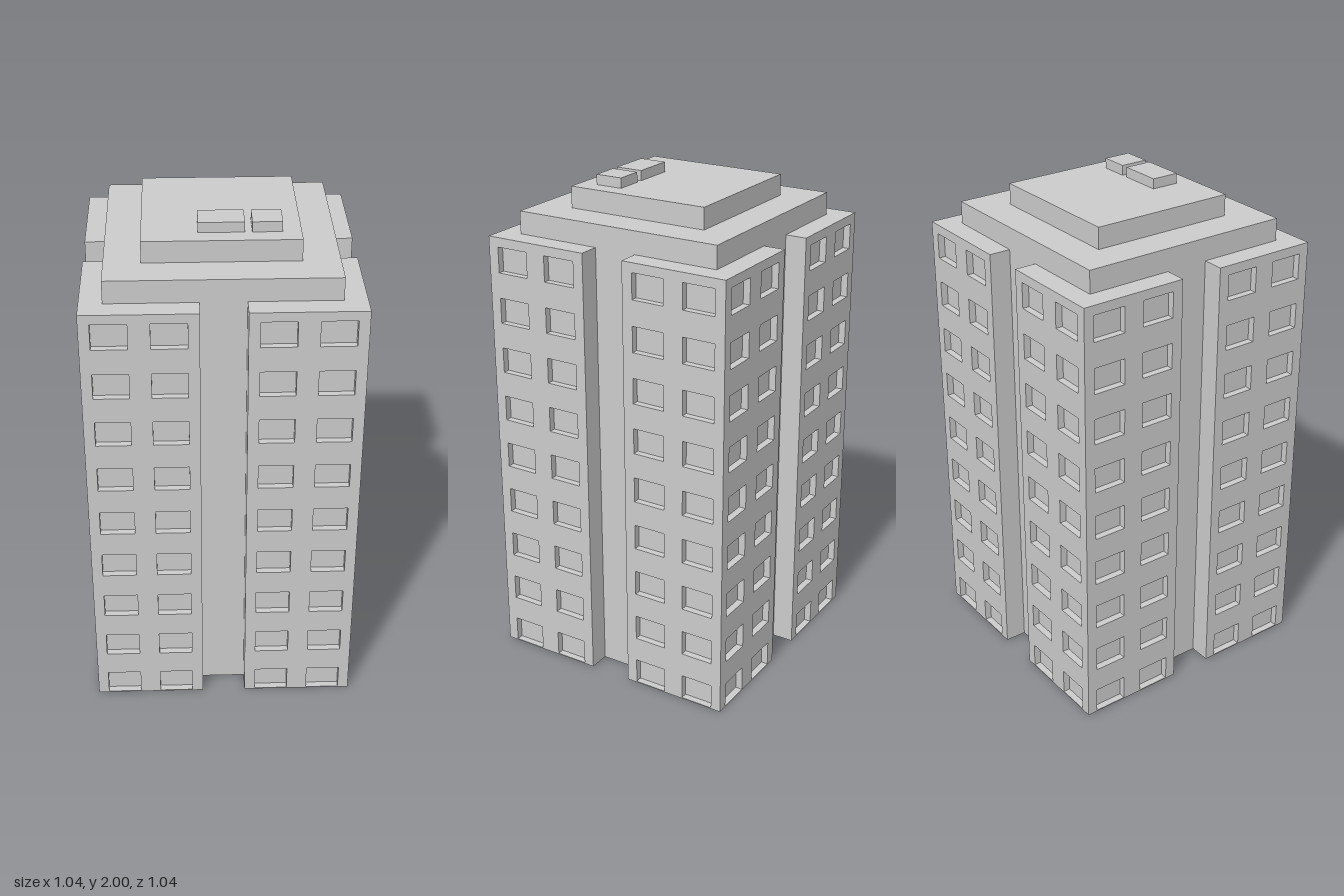
import * as THREE from 'three';

const OUTER = 0.522;   // half width over the corner wings
const CORE = 0.435;    // half width at the recessed bays
const BAY = 0.087;     // half width of the bays
const DEPTH = 0.028;   // window recess
const INNER = OUTER - DEPTH;
const WALL_TOP = 1.785;

const material = new THREE.MeshStandardMaterial({ color: 0xcccccc, flatShading: true });

function addMesh(parent, name, geometry) {
  const mesh = new THREE.Mesh(geometry, material);
  mesh.name = name;
  parent.add(mesh);
  return mesh;
}

// Box given by its limits on each axis
function addBlock(parent, name, [x0, x1], [y0, y1], [z0, z1]) {
  const mesh = addMesh(parent, name, new THREE.BoxGeometry(x1 - x0, y1 - y0, z1 - z0));
  mesh.position.set((x0 + x1) / 2, (y0 + y1) / 2, (z0 + z1) / 2);
}

function rectangle(Type, x0, x1, y0, y1) {
  return new Type([[x0, y0], [x1, y0], [x1, y1], [x0, y1]].map(p => new THREE.Vector2(...p)));
}

// Wall panel of one wing, pierced by two columns of nine windows
function facadeGeometry(side, end) {
  const xs = [BAY * side, end * side].sort((a, b) => a - b);
  const shape = rectangle(THREE.Shape, xs[0], xs[1], 0, WALL_TOP);
  for (const centre of [0.197, 0.413]) {
    for (let floor = 0; floor < 9; floor++) {
      const x = centre * side;
      const y = 0.004 + floor * 0.205;
      shape.holes.push(rectangle(THREE.Path, x - 0.067, x + 0.067, y, y + 0.103));
    }
  }
  return new THREE.ExtrudeGeometry(shape, { depth: DEPTH, bevelEnabled: false });
}

export function createModel() {
  const building = new THREE.Group();
  building.name = 'towerBlock';

  // Body with four square wings and a bay in each side
  const plan = [];
  for (let q = 0; q < 4; q++) {
    for (const [x, y] of [[CORE, -BAY], [CORE, BAY], [INNER, BAY], [INNER, INNER], [BAY, INNER]]) {
      plan.push(new THREE.Vector2(x, y).rotateAround(new THREE.Vector2(), q * Math.PI / 2));
    }
  }
  const body = new THREE.ExtrudeGeometry(new THREE.Shape(plan), { depth: WALL_TOP, bevelEnabled: false });
  addMesh(building, 'body', body.rotateX(-Math.PI / 2));

  // Window walls, two per side
  const leftWall = facadeGeometry(1, OUTER);
  const rightWall = facadeGeometry(-1, INNER);
  for (let q = 0; q < 4; q++) {
    const facade = new THREE.Group();
    facade.name = 'facade';
    facade.rotation.y = q * Math.PI / 2;
    addMesh(facade, 'leftWindowWall', leftWall).position.z = INNER;
    addMesh(facade, 'rightWindowWall', rightWall).position.z = INNER;
    building.add(facade);
  }

  // Stepped roof and rooftop units
  addBlock(building, 'lowerRoof', [-CORE, CORE], [WALL_TOP, 1.875], [-CORE, CORE]);
  addBlock(building, 'upperRoof', [-0.296, 0.294], [1.875, 1.96], [-0.297, 0.293]);
  addBlock(building, 'largeRoofUnit', [-0.087, 0.085], [1.96, 2], [0.111, 0.223]);
  addBlock(building, 'smallRoofUnit', [0.112, 0.224], [1.96, 2], [0.111, 0.223]);

  return building;
}
